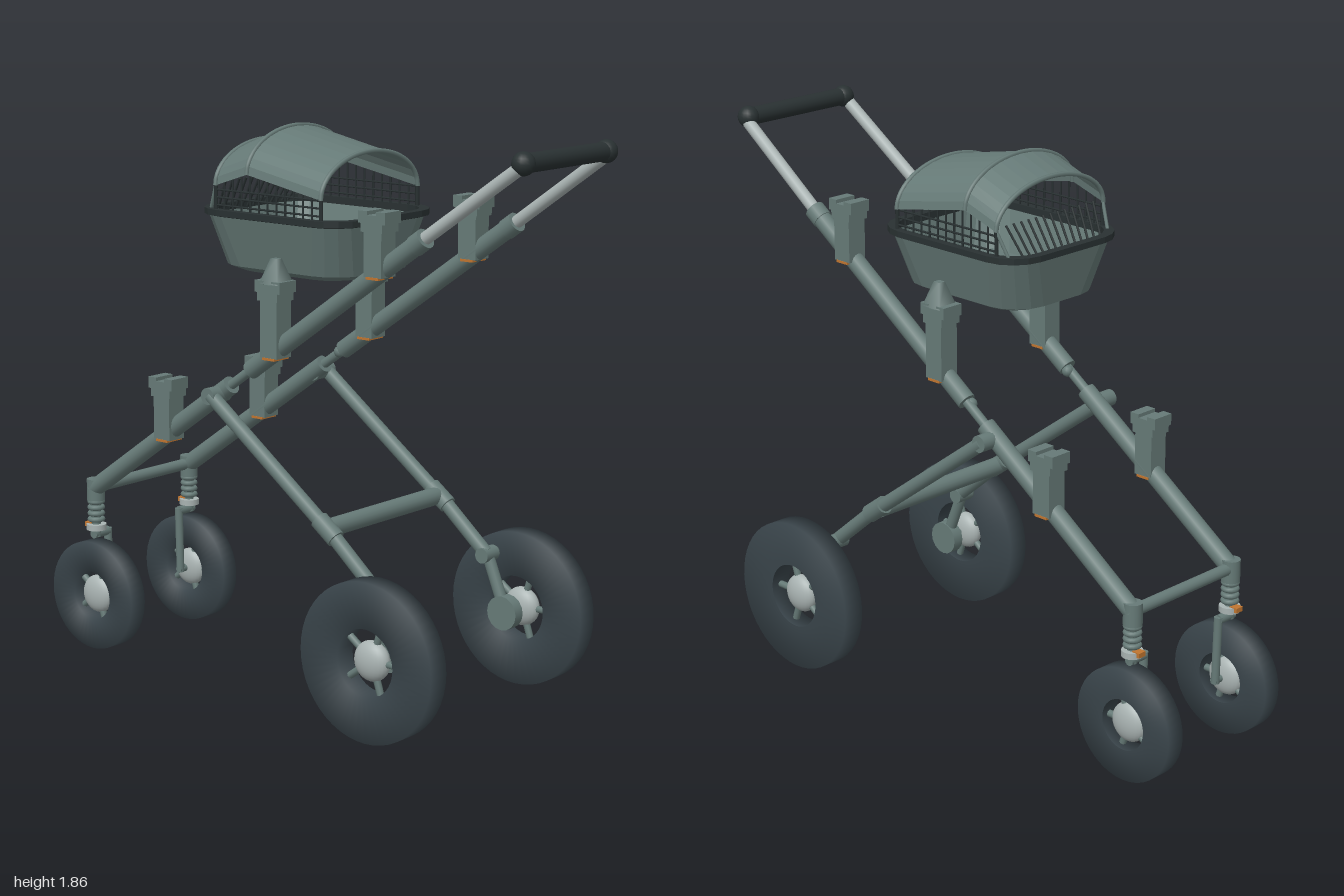
import * as THREE from 'three';

const mat = (name, color, side = THREE.FrontSide) => {
  const m = new THREE.MeshStandardMaterial({ color, side });
  m.name = name;
  return m;
};
const V = (x, y, z) => new THREE.Vector3(x, y, z);

export function createModel() {
  const root = new THREE.Group();
  root.name = 'stroller';
  const frame = mat('greyGreenFrame', 0x667a77, THREE.DoubleSide);
  const tyreMat = mat('darkRubber', 0x39444a);
  const trim = mat('blackTrim', 0x293132);
  const silver = mat('silver', 0xa9b3b2);
  const orange = mat('orangeClip', 0xc07530);

  const add = (name, geo, material, pos = [0, 0, 0], parent = root) => {
    const m = new THREE.Mesh(geo, material);
    m.name = name;
    m.position.set(...pos);
    parent.add(m);
    return m;
  };
  const box = (name, w, h, d, pos, material = frame, parent = root) =>
    add(name, new THREE.BoxGeometry(w, h, d), material, pos, parent);
  // Straight tube between two points
  const rod = (name, a, b, r, material = frame, r2 = r, sides = 16, parent = root) => {
    const dir = b.clone().sub(a);
    const m = add(name, new THREE.CylinderGeometry(r2, r, dir.length(), sides), material, [0, 0, 0], parent);
    m.position.copy(a).add(b).multiplyScalar(0.5);
    m.quaternion.setFromUnitVectors(V(0, 1, 0), dir.normalize());
    return m;
  };
  // Flat-shaded skin over equal-length rows of points
  const skin = (rows) => {
    const pos = [];
    for (let i = 0; i < rows.length - 1; i++)
      for (let j = 0; j < rows[i].length - 1; j++) {
        const a = rows[i][j], b = rows[i][j + 1], c = rows[i + 1][j], d = rows[i + 1][j + 1];
        for (const p of [a, c, b, b, c, d]) pos.push(p.x, p.y, p.z);
      }
    const g = new THREE.BufferGeometry();
    g.setAttribute('position', new THREE.Float32BufferAttribute(pos, 3));
    g.computeVertexNormals();
    return g;
  };

  // Wheel: tyre ring, rim, five spokes and domed hub
  const wheel = (name, x, y, z, R, hole, w) => {
    const g = new THREE.Group();
    g.name = name;
    g.position.set(x, y, z);
    const h = w / 2;
    const profile = [[hole, -h], [R, -h], [R, h], [hole, h], [hole, -h]].map(p => new THREE.Vector2(...p));
    add('tyre', new THREE.LatheGeometry(profile, 48), tyreMat, [0, 0, 0], g).rotation.x = Math.PI / 2;
    for (let i = 0; i < 5; i++) {
      const a = i * Math.PI * 2 / 5;
      rod('spoke', V(0, 0, 0), V(Math.cos(a) * (hole + 0.01), Math.sin(a) * (hole + 0.01), 0), 0.012, frame, 0.012, 8, g);
    }
    add('hub', new THREE.SphereGeometry(0.066, 24, 16), silver, [0, 0, 0], g).scale.z = h / 0.066;
    root.add(g);
  };

  // Post that clamps on a rail, with a notched socket on top
  const post = (x, z, y0, y1) => {
    const g = new THREE.Group();
    g.name = 'seatPost';
    box('postBody', 0.07, y1 - y0 - 0.04, 0.07, [x, (y0 + y1 - 0.04) / 2, z], frame, g);
    box('postCap', 0.085, 0.03, 0.08, [x, y1 - 0.05, z], frame, g);
    box('socket', 0.105, 0.026, 0.08, [x, y1 - 0.025, z], frame, g);
    for (const k of [-1, 1]) {
      box('socketLip', 0.035, 0.014, 0.08, [x + k * 0.035, y1 - 0.007, z], frame, g);
    }
    box('postClip', 0.05, 0.008, 0.074, [x, y0 - 0.003, z], orange, g);
    root.add(g);
  };

  const railY = x => 0.57 + (x + 0.82) * 0.7;
  const R = (x, z) => V(x, railY(x), z);

  for (const s of [1, -1]) {
    const z = s * 0.235;
    // Sloping rails with a thin hinge link between them
    rod('lowerRail', R(-0.82, z), R(-0.18, z), 0.031);
    rod('hingeLink', R(-0.2, z), R(-0.08, z), 0.016);
    add('hingeBolt', new THREE.SphereGeometry(0.02, 12, 8), frame, [-0.105, railY(-0.105), s * 0.225]);
    rod('upperRail', R(-0.095, z), R(0.61, z), 0.031);
    rod('railCollar', R(0.575, z), R(0.615, z), 0.034);
    rod('handleTube', R(0.6, z), R(0.95, s * 0.225), 0.021, silver);
    add('handleCorner', new THREE.SphereGeometry(0.037, 16, 12), trim, [0.96, 1.825, s * 0.215]);

    post(-0.46, z * 1.02, 0.8, 1.01);
    post(0.015, z * 1.02, 1.135, 1.385);
    post(0.44, z * 1.02, 1.44, 1.645);
    // Wedge joining the middle post to the basket
    const wedge = add('basketMount', new THREE.CylinderGeometry(0.018, 0.055, 0.08, 4), frame, [0.02, 1.415, s * 0.242]);
    wedge.rotation.y = Math.PI / 4;

    // Front suspension strut and one-sided fork
    const fx = -0.815;
    rod('strutCap', V(fx, 0.53, z), V(fx, 0.605, z), 0.031);
    rod('strut', V(fx, 0.4, z), V(fx, 0.54, z), 0.016);
    for (let i = 0; i < 4; i++)
      add('springCoil', new THREE.TorusGeometry(0.022, 0.009, 8, 18), frame, [fx, 0.462 + i * 0.021, z]).rotation.x = Math.PI / 2;
    rod('strutCollar', V(fx, 0.425, z), V(fx, 0.445, z), 0.035, silver);
    box('strutClip', 0.03, 0.016, 0.03, [fx - 0.027, 0.44, z], orange);
    rod('forkShoulder', V(fx, 0.41, s * 0.25), V(fx, 0.41, s * 0.18), 0.016);
    rod('forkArm', V(fx, 0.42, s * 0.18), V(-0.81, 0.185, s * 0.18), 0.014);
    rod('frontAxle', V(-0.81, 0.195, s * 0.17), V(-0.81, 0.195, z), 0.013);
    wheel('frontWheel', -0.81, 0.195, z, 0.19, 0.085, 0.066);

    // Rear leg, sleeve, swing arm and axle
    const lz = s * 0.29;
    rod('rearLeg', V(-0.22, 0.985, lz), V(0.3, 0.6, lz), 0.024);
    rod('legPivot', V(-0.22, 0.985, s * 0.22), V(-0.22, 0.985, s * 0.31), 0.028);
    rod('legSleeve', V(0.24, 0.645, lz), V(0.31, 0.593, lz), 0.031);
    rod('lowerLeg', V(0.3, 0.6, lz), V(0.47, 0.455, lz), 0.024);
    rod('swingPivot', V(0.47, 0.45, s * 0.265), V(0.47, 0.45, s * 0.33), 0.026);
    add('pivotKnob', new THREE.SphereGeometry(0.026, 14, 10), frame, [0.47, 0.45, s * 0.325]);
    rod('swingArm', V(0.47, 0.45, s * 0.3), V(0.545, 0.265, s * 0.3), 0.02);
    rod('axleHousing', V(0.545, 0.265, s * 0.278), V(0.545, 0.265, s * 0.318), 0.058);
    rod('rearAxle', V(0.545, 0.265, s * 0.3), V(0.545, 0.265, s * 0.4), 0.013);
    wheel('rearWheel', 0.545, 0.265, s * 0.396, 0.26, 0.11, 0.076);
  }

  // Cross members and grip
  rod('frontCrossbar', V(-0.815, 0.575, -0.235), V(-0.815, 0.575, 0.235), 0.02);
  rod('rearCrossbar', V(0.27, 0.62, -0.285), V(0.27, 0.62, 0.285), 0.03);
  rod('handleGrip', V(0.96, 1.825, -0.22), V(0.96, 1.825, 0.22), 0.03, trim);

  // Basket: rounded-rectangle rings, outside upward then inside downward
  const cx = -0.015;
  const ring = (y, hx, hz, r) => {
    const pts = [];
    for (let q = 0; q < 4; q++)
      for (let k = 0; k <= 4; k++) {
        const a = (q + k / 4) * Math.PI / 2;
        const sx = q === 0 || q === 3 ? 1 : -1, sz = q < 2 ? 1 : -1;
        pts.push(V(cx + sx * (hx - r) + r * Math.cos(a), y, sz * (hz - r) + r * Math.sin(a)));
      }
    pts.push(pts[0].clone());
    return pts;
  };
  add('basket', skin([
    ring(1.386, 0.002, 0.002, 0.001), ring(1.386, 0.225, 0.165, 0.1), ring(1.405, 0.272, 0.205, 0.12),
    ring(1.575, 0.305, 0.253, 0.11), ring(1.575, 0.29, 0.24, 0.1), ring(1.42, 0.258, 0.193, 0.11),
    ring(1.41, 0.002, 0.002, 0.001)]), frame);
  add('basketRim', skin([
    ring(1.568, 0.303, 0.25, 0.11), ring(1.572, 0.318, 0.266, 0.12), ring(1.592, 0.318, 0.266, 0.12),
    ring(1.592, 0.288, 0.237, 0.1), ring(1.568, 0.288, 0.237, 0.1)]), trim);
  box('cushion', 0.2, 0.04, 0.26, [0.05, 1.44, 0]);

  // Canopy: three arches [x, base, height] skinned together, with a hoop on each
  const arches = [[-0.235, 1.668, 0.132], [-0.1, 1.712, 0.14], [0.208, 1.655, 0.135]];
  const arc = ([x, y, h]) => Array.from({ length: 17 }, (_, i) => {
    const t = i / 16 * Math.PI;
    return V(x, y + h * Math.sin(t), 0.245 * Math.cos(t));
  });
  add('canopy', skin(arches.map(arc)), frame);
  for (const a of arches)
    add('canopyHoop', new THREE.TubeGeometry(new THREE.CatmullRomCurve3(arc(a)), 32, 0.008, 6), frame);

  // Mesh sides below the canopy
  const eaveY = x => x < -0.1 ? 1.668 + (x + 0.235) * 0.326 : 1.712 - (x + 0.1) * 0.185;
  for (const s of [1, -1]) {
    const z = s * 0.243;
    for (let i = 0; i <= 12; i++) {
      const x = -0.235 + i * 0.443 / 12;
      const edge = i === 0 || i === 12;
      rod('meshUpright', V(x, 1.575, z), V(x, eaveY(x), z), edge ? 0.007 : 0.0035, trim, edge ? 0.007 : 0.0035, 6);
    }
    for (const y of [1.605, 1.63, 1.655])
      rod('meshWire', V(-0.235, y, z), V(0.208, y, z), 0.0035, trim, 0.0035, 6);
    rod('canopyStay', V(-0.275, 1.58, s * 0.225), V(-0.235, 1.67, z), 0.006, frame, 0.006, 6);
  }
  // Fan of bars at the foot end
  for (let i = 0; i < 13; i++) {
    const z = (i - 6) * 0.029;
    rod('footBar', V(-0.29, 1.575, z), V(-0.232, 1.68, z * 1.14), 0.004, trim, 0.004, 6);
  }
  return root;
}
